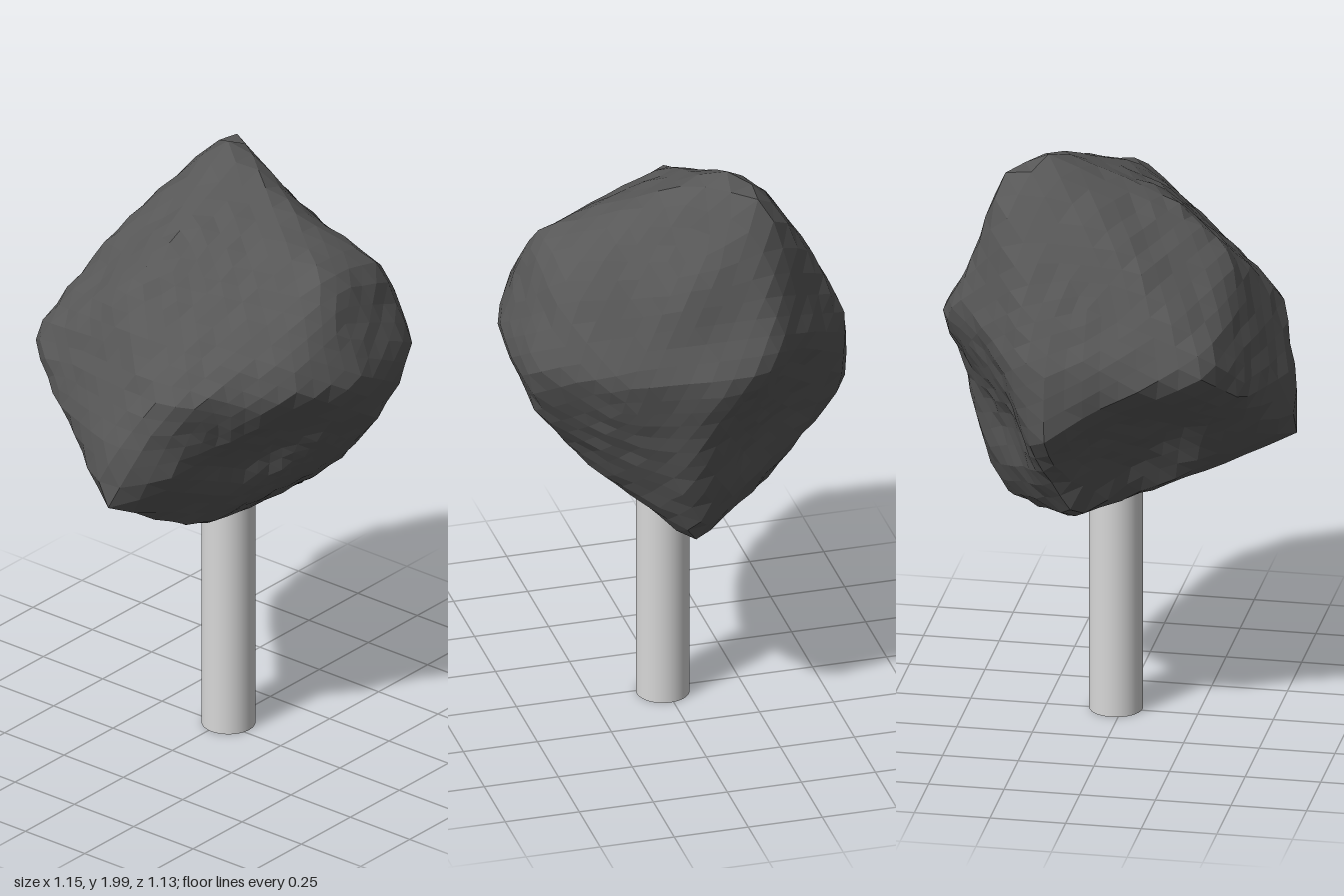
import * as THREE from 'three';
import { ConvexGeometry } from 'three/addons/geometries/ConvexGeometry.js';

const CENTRE = new THREE.Vector3(0.03, 1.3, 0);
const vec = (p) => new THREE.Vector3(...p);

// Corners of the stone, grouped by region
const peak = [[0.23, 2, -0.14], [0.36, 1.95, -0.25]];
const crown = [[-0.2, 1.81, -0.05], [-0.38, 1.67, -0.1], [-0.05, 1.76, -0.35], [0.48, 1.68, 0.08]];
const brow = [[0, 1.74, 0.45], [0.3, 1.7, 0.42]];
const front = [[0, 1.42, 0.565], [0.32, 1.4, 0.545], [-0.28, 1.38, 0.47], [0.2, 1.18, 0.49], [0.2, 1, 0.34]];
const leftTip = [[-0.585, 1.01, 0], [-0.58, 1.2, 0.04], [-0.5, 1.42, 0.18], [-0.2, 0.82, 0.08]];
const rightSide = [[0.58, 1.4, -0.05], [0.56, 1.38, -0.21], [0.5, 1.42, 0.34], [0.47, 0.95, 0.03]];
const back = [[-0.38, 1.4, -0.49], [0.2, 1.41, -0.56], [0.17, 1.12, -0.56], [0.1, 0.8, -0.33]];
const foot = [[0.39, 0.735, 0.01], [0.1, 0.73, -0.1]];

// Hollows: direction, depth
const hollows = [
  [[0.8, -0.25, -0.54], 0.05], // behind the right side
  [[-0.3, -0.5, -0.8], 0.06], // under the back ledge
  [[-0.6, -0.2, 0.76], 0.05], // left of the front bulge
  [[0.8, 0.75, 0.1], 0.04], // cliff below the peak
].map(([d, depth]) => ({ dir: vec(d).normalize(), depth }));

// Planes of the hull around the corners, measured from the centre
function hullPlanes() {
  const corners = [peak, crown, brow, front, leftTip, rightSide, back, foot].flat();
  const pos = new ConvexGeometry(corners.map((p) => vec(p).sub(CENTRE))).attributes.position;
  const planes = [];
  for (let i = 0; i < pos.count; i += 3) {
    const [a, b, c] = [0, 1, 2].map((k) => new THREE.Vector3().fromBufferAttribute(pos, i + k));
    planes.push(new THREE.Plane().setFromCoplanarPoints(a, b, c));
  }
  return planes;
}

// Soft minimum over the planes wears the edges; hollows and bumps roughen it
function radius(dir, planes) {
  const sharpness = 60;
  let sum = 0;
  for (const { normal, constant } of planes) {
    const facing = dir.dot(normal);
    if (facing > 0.02) sum += Math.pow(-constant / facing, -sharpness);
  }
  let r = 1.02 * Math.pow(sum, -1 / sharpness);
  for (const { dir: h, depth } of hollows) r -= depth * THREE.MathUtils.smoothstep(dir.dot(h), 0.82, 0.97);
  const { x, y, z } = dir;
  return r + 0.009 * Math.sin(17 * x + 9 * y) * Math.sin(15 * y - 11 * z) * Math.sin(19 * z + 7 * x);
}

function boulderGeometry() {
  const planes = hullPlanes();
  const geo = new THREE.IcosahedronGeometry(1, 9);
  const pos = geo.attributes.position, v = new THREE.Vector3();
  for (let i = 0; i < pos.count; i++) {
    v.fromBufferAttribute(pos, i).normalize();
    v.multiplyScalar(radius(v, planes)).add(CENTRE);
    pos.setXYZ(i, v.x, v.y, v.z);
  }
  geo.computeVertexNormals();
  return geo;
}

export function createModel() {
  const stone = new THREE.MeshStandardMaterial({ color: 0x585858, flatShading: true });
  stone.name = 'darkStone';
  const metal = new THREE.MeshStandardMaterial({ color: 0xd8d8d8 });
  metal.name = 'paleGrey';

  const group = new THREE.Group();
  group.name = 'mountedBoulder';

  const boulder = new THREE.Mesh(boulderGeometry(), stone);
  boulder.name = 'boulder';

  // Post runs up into the stone
  const post = new THREE.Mesh(new THREE.CylinderGeometry(0.0875, 0.0875, 0.95, 32), metal);
  post.name = 'post';
  post.position.set(0.022, 0.475, 0.012);

  group.add(boulder, post);
  return group;
}
